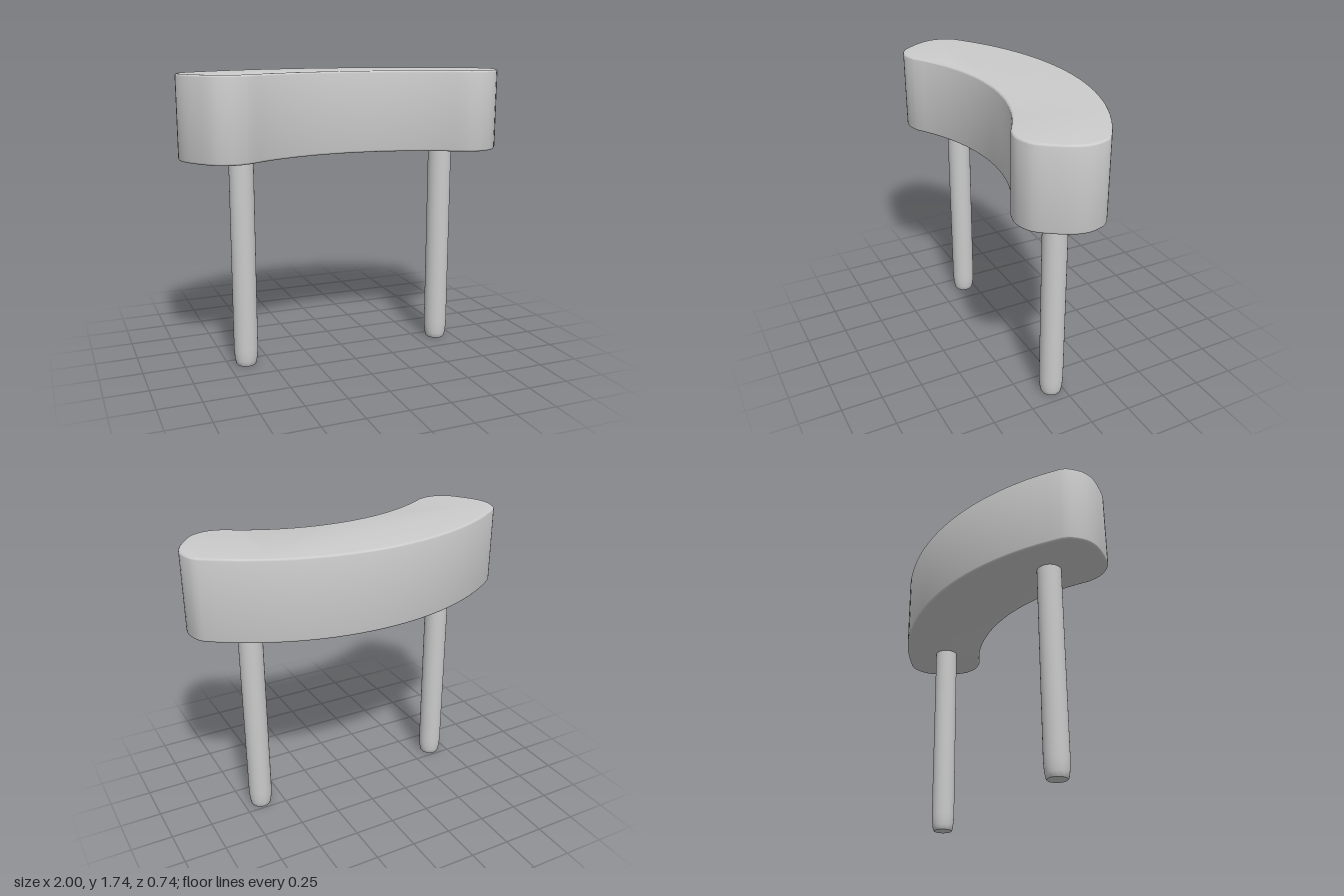
import * as THREE from 'three';
import { toCreasedNormals } from 'three/addons/utils/BufferGeometryUtils.js';

const material = new THREE.MeshStandardMaterial({ color: 0xcccccc });

// Points of a shallow arc from -halfWidth to +halfWidth, lowest z at the middle
function arc(halfWidth, zMid, zEnd, steps) {
  const rise = zEnd - zMid;
  const r = (halfWidth * halfWidth + rise * rise) / (2 * rise);
  const a = Math.asin(halfWidth / r);
  return Array.from({ length: steps + 1 }, (_, i) => {
    const t = a * (2 * i / steps - 1);
    return new THREE.Vector2(r * Math.sin(t), zMid + r * (1 - Math.cos(t)));
  });
}

// Curved seat pad with rounded ends and a fine edge bevel
function makeSeat() {
  const end = new THREE.SplineCurve([
    [0.95, -0.05], [0.98, -0.01], [1, 0.08], [0.98, 0.165], [0.93, 0.25],
    [0.865, 0.33], [0.8, 0.362], [0.735, 0.37], [0.66, 0.35],
  ].map(([x, z]) => new THREE.Vector2(x, z))).getPoints(24);
  const mirrored = end.map((p) => new THREE.Vector2(-p.x, p.y)).reverse();
  const outline = [
    ...arc(0.95, -0.37, -0.05, 28).slice(1, -1),
    ...end,
    ...arc(0.66, 0.15, 0.35, 20).slice(1, -1).reverse(),
    ...mirrored,
  ];
  const bottom = 1.26, top = 1.74, bevel = 0.012;
  const geometry = new THREE.ExtrudeGeometry(new THREE.Shape(outline), {
    depth: top - bottom - 2 * bevel, steps: 1,
    bevelThickness: bevel, bevelSize: bevel, bevelOffset: -bevel, bevelSegments: 3,
  });
  geometry.rotateX(Math.PI / 2).translate(0, top - bevel, 0);
  const seat = new THREE.Mesh(toCreasedNormals(geometry, 0.6), material);
  seat.name = 'seat';
  return seat;
}

// Round leg, slightly tapered at the foot and closed underneath
function makeLeg(side) {
  const profile = [
    [0, 0], [0.057, 0], [0.061, 0.006], [0.066, 0.03], [0.07, 0.065], [0.072, 0.11], [0.072, 1.28],
  ].map(([r, y]) => new THREE.Vector2(r, y));
  const geometry = toCreasedNormals(new THREE.LatheGeometry(profile, 32), 0.7);
  const leg = new THREE.Mesh(geometry, material);
  leg.position.set(side * 0.643, 0, 0.07);
  leg.name = side > 0 ? 'leftLeg' : 'rightLeg';
  return leg;
}

export function createModel() {
  const group = new THREE.Group();
  group.name = 'curvedStool';
  group.add(makeSeat(), makeLeg(1), makeLeg(-1));
  return group;
}
